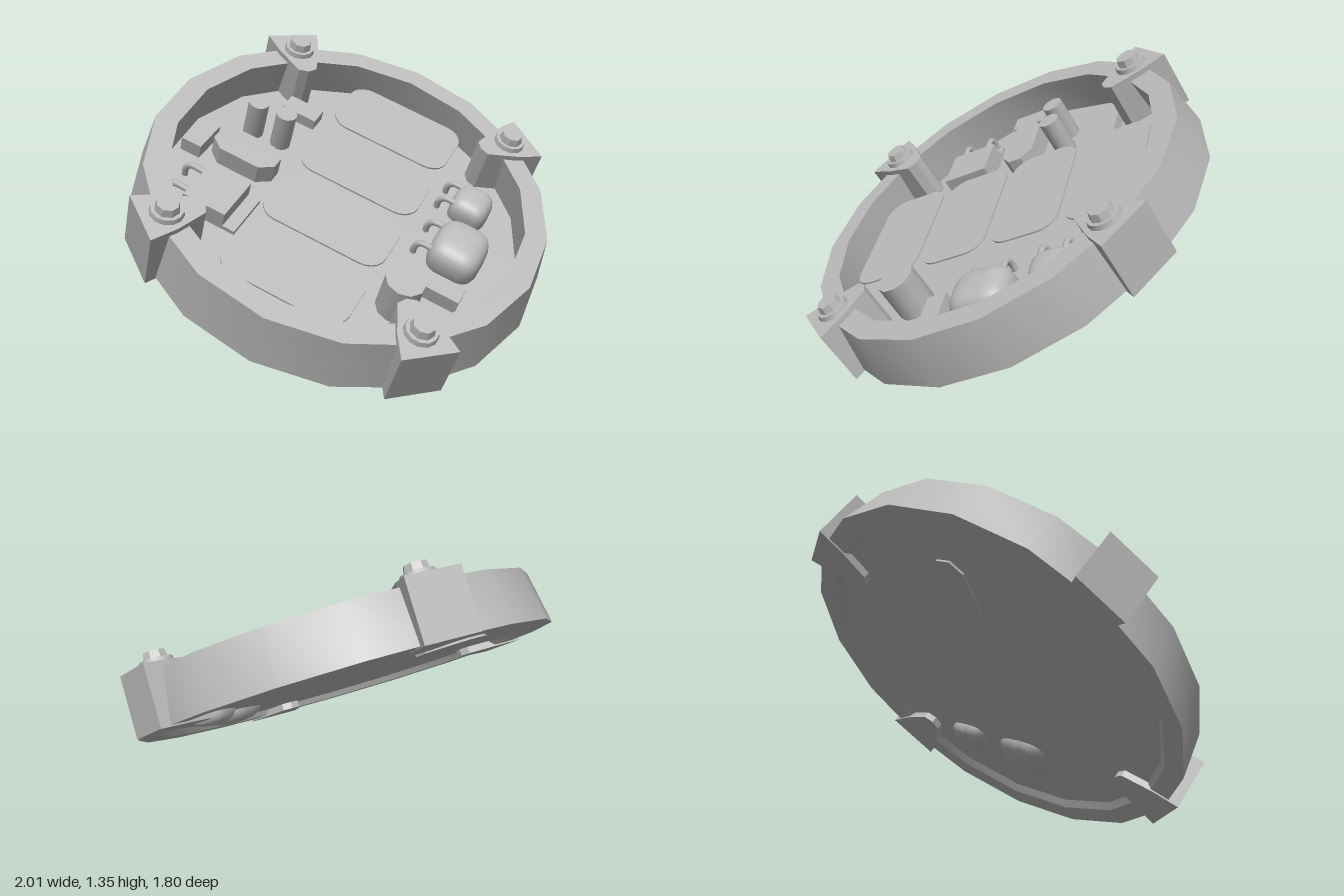
import * as THREE from 'three';
import { toCreasedNormals } from 'three/addons/utils/BufferGeometryUtils.js';

const grey = new THREE.MeshStandardMaterial({ color: 0xb8b8b8 });
grey.name = 'plain grey';
const FLOOR = -0.1; // underside of the board
const rad = THREE.MathUtils.degToRad;

function add(parent, name, geometry, x = 0, y = 0, z = 0) {
  const mesh = new THREE.Mesh(geometry, grey);
  mesh.name = name;
  mesh.position.set(x, y, z);
  parent.add(mesh);
  return mesh;
}

// Upright prism from an outline of [x, z] points, between heights y0 and y1
function prism(points, y0, y1) {
  const shape = new THREE.Shape(points.map(([x, z]) => new THREE.Vector2(x, -z)));
  const g = new THREE.ExtrudeGeometry(shape, { depth: y1 - y0, bevelEnabled: false });
  return g.rotateX(-Math.PI / 2).translate(0, y0, 0);
}

// Mirrors a half outline in x to close it
function mirrored(half) {
  return [...half, ...half.slice().reverse().filter(([x]) => x !== 0).map(([x, z]) => [-x, z])];
}

function box(parent, name, x, z, sx, sz, top) {
  return add(parent, name, new THREE.BoxGeometry(sx, top - FLOOR, sz), x, (top + FLOOR) / 2, z);
}

function can(parent, name, x, z, r, top, sides) {
  const g = toCreasedNormals(new THREE.CylinderGeometry(r, r, top - FLOOR, sides), rad(50));
  return add(parent, name, g, x, (top + FLOOR) / 2, z);
}

// Thin plate with rounded corners
function roundedPlate(sx, sz, r, thickness) {
  const pts = [];
  [[1, 1], [-1, 1], [-1, -1], [1, -1]].forEach(([cx, cz], k) => {
    for (let i = 0; i <= 5; i++) {
      const t = (k + i / 5) * Math.PI / 2;
      pts.push([cx * (sx / 2 - r) + r * Math.cos(t), cz * (sz / 2 - r) + r * Math.sin(t)]);
    }
  });
  return prism(pts, 0, thickness);
}

// Pillow-shaped coil: a sphere pushed towards a box
function pillow(sx, sy, sz) {
  const g = new THREE.SphereGeometry(1, 24, 16);
  const p = g.attributes.position;
  const swell = (v, e) => Math.sign(v) * Math.abs(v) ** e;
  for (let i = 0; i < p.count; i++) {
    p.setXYZ(i, swell(p.getX(i), 0.6) * sx / 2, swell(p.getY(i), 0.8) * sy / 2, swell(p.getZ(i), 0.6) * sz / 2);
  }
  g.computeVertexNormals();
  return g;
}

// Bent wire from the board into the side of a component
function lead(parent, x, z, reach) {
  const path = new THREE.CatmullRomCurve3([
    new THREE.Vector3(0, FLOOR, 0),
    new THREE.Vector3(0, -0.05, 0),
    new THREE.Vector3(0.02, -0.02, 0),
    new THREE.Vector3(reach, -0.02, 0),
  ]);
  add(parent, 'lead', new THREE.TubeGeometry(path, 10, 0.015, 8), x, 0, z);
}

function makeBracket(angle) {
  const bracket = new THREE.Group();
  bracket.name = 'bracket';
  // Clamp body, wide outside and tapering inwards
  const half = [[0, 0.71], [0.045, 0.725], [0.07, 0.79], [0.1, 0.87], [0.128, 0.995]];
  add(bracket, 'clampBody', prism(mirrored(half), -0.135, 0.135));
  // Washer and bolt head
  add(bracket, 'washer', toCreasedNormals(new THREE.CylinderGeometry(0.07, 0.075, 0.022, 12), rad(40)), 0, 0.146, 0.88);
  add(bracket, 'boltHead', new THREE.CylinderGeometry(0.048, 0.056, 0.036, 8).toNonIndexed(), 0, 0.173, 0.88)
    .geometry.computeVertexNormals();
  bracket.rotation.y = rad(angle);
  return bracket;
}

function makeCircuit() {
  const circuit = new THREE.Group();
  circuit.name = 'circuit';
  circuit.rotation.y = -Math.PI / 4;

  // Row of four flat panels
  for (let i = 0; i < 4; i++) {
    add(circuit, 'flatPanel', roundedPlate(0.6, 0.34, 0.09, 0.008), 0.015, 0.014, 0.56 - i * 0.375);
  }

  // Cylindrical cans
  can(circuit, 'slimCan', -0.583, -0.194, 0.05, 0.1, 12);
  can(circuit, 'slimCan', -0.44, -0.206, 0.05, 0.1, 12);
  can(circuit, 'wideCan', 0.444, 0.387, 0.09, 0.095, 10);

  // Small blocks
  box(circuit, 'smallBlock', -0.445, -0.445, 0.18, 0.1, -0.035);
  box(circuit, 'smallBlock', -0.745, 0.04, 0.1, 0.18, -0.02);
  box(circuit, 'smallBlock', 0.589, 0.214, 0.18, 0.1, -0.02);

  // Large chip on a low foot, with its leads
  box(circuit, 'chipFoot', -0.49, 0.33, 0.33, 0.24, -0.07);
  box(circuit, 'chipBody', -0.49, 0.33, 0.21, 0.24, 0);
  for (const s of [-1, 1]) lead(circuit, -0.69, 0.33 + s * 0.07, 0.12);

  // Long octagonal component
  const octagon = mirrored([[0.1, -0.085], [0.16, -0.035], [0.16, 0.035], [0.1, 0.085]]);
  add(circuit, 'octagonalBlock', prism(octagon, FLOOR - 0.012, 0.005), -0.51, 0, 0.02);

  // Pillow coils, reaching through the board, with leads
  add(circuit, 'largeCoil', pillow(0.25, 0.2, 0.29), 0.567, -0.05, -0.04);
  add(circuit, 'smallCoil', pillow(0.19, 0.17, 0.21), 0.516, -0.065, -0.36);
  for (const s of [-1, 1]) {
    lead(circuit, 0.385, -0.04 + s * 0.08, 0.1);
    lead(circuit, 0.37, -0.36 + s * 0.06, 0.1);
  }
  return circuit;
}

export function createModel() {
  const model = new THREE.Group();
  model.name = 'model';
  const device = new THREE.Group();
  device.name = 'tiltedDevice';
  device.rotation.x = rad(34.1);
  device.position.y = 0.675;
  model.add(device);

  // Outer ring, slightly wider at the bottom
  const profile = [[0.965, -0.128], [0.925, 0.11], [0.82, 0.11], [0.845, FLOOR], [0.875, -0.128], [0.965, -0.128]]
    .map(([r, y]) => new THREE.Vector2(r, y));
  add(device, 'outerRing', toCreasedNormals(new THREE.LatheGeometry(profile, 18, rad(-2)), rad(35)));

  // Round board
  add(device, 'board', new THREE.CylinderGeometry(0.85, 0.85, 0.012, 18, 1, false, rad(-2)), 0, FLOOR + 0.004, 0);

  device.add(makeCircuit());

  // Four clamping brackets around the ring
  for (const angle of [-1.6, 97.5, 178.4, -82.5]) device.add(makeBracket(angle));

  return model;
}
